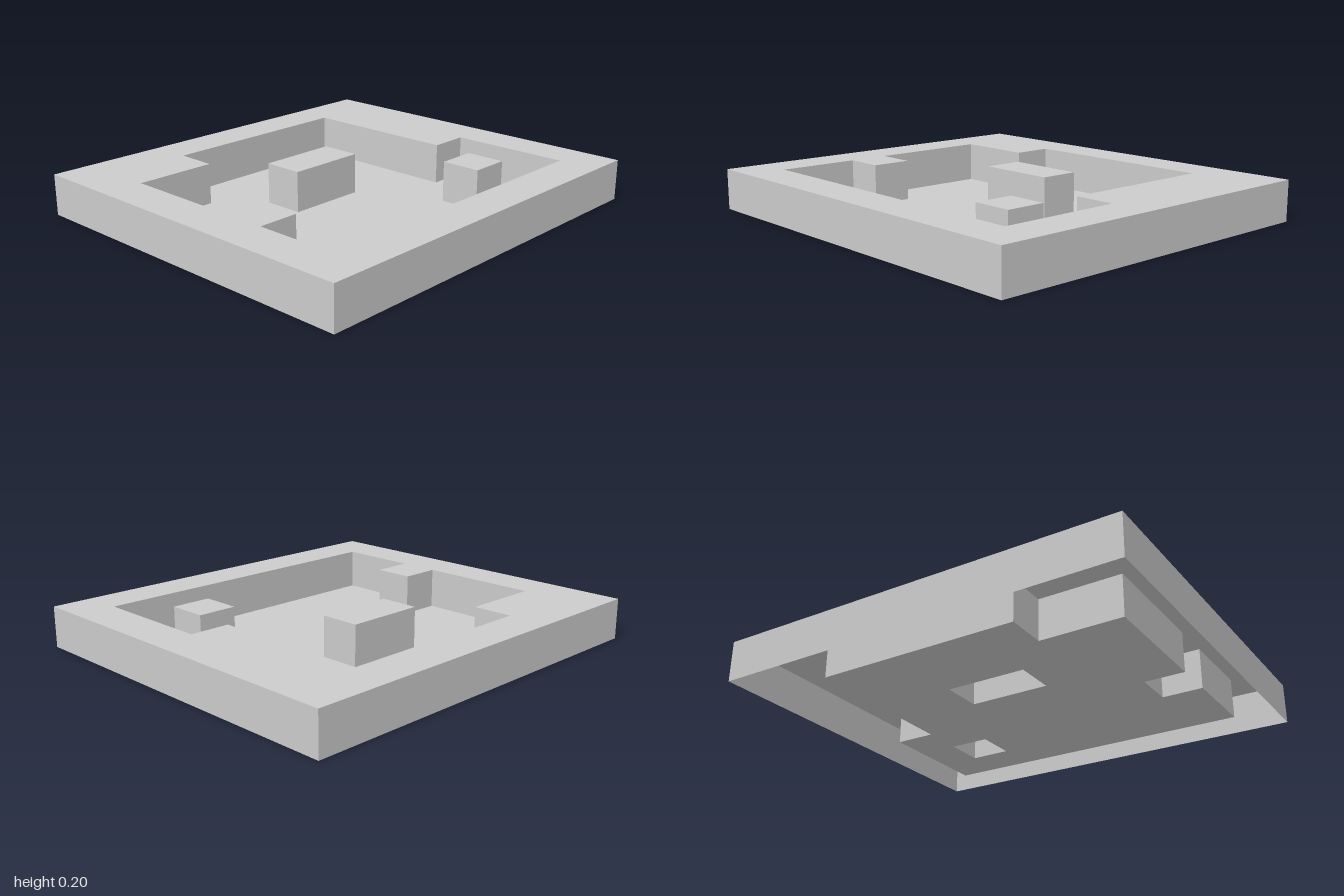
import * as THREE from 'three';

const HEIGHT = 0.2;

// Plan loops are lists of [x, z]
const rect = (x0, x1, z0, z1) => [[x0, z1], [x1, z1], [x1, z0], [x0, z0]];
const outer = rect(-0.9, 0.9, -1, 1);
const cavity = [
  [-0.7, -0.6], [0.1, -0.6], [0.1, -0.8], [0.7, -0.8], [0.7, 0.8], [0.3, 0.8],
  [0.3, 0.6], [0.1, 0.6], [0.1, 0.8], [-0.5, 0.8], [-0.5, 0.4], [-0.7, 0.4],
];
const pillars = {
  longPillar: rect(-0.3, -0.1, -0.2, 0.2),
  squarePillar: rect(0.3, 0.5, -0.6, -0.4),
};

// Flat sheet facing up at height y, with optional holes
function sheet(loop, holes, y) {
  const points = (l) => l.map(([x, z]) => new THREE.Vector2(x, -z));
  const shape = new THREE.Shape(points(loop));
  shape.holes = holes.map((h) => new THREE.Path(points(h)));
  return new THREE.ShapeGeometry(shape).rotateX(-Math.PI / 2).translate(0, y, 0);
}

// Upright walls along a closed loop, from the ground to HEIGHT
function walls(loop) {
  const pos = [];
  loop.forEach(([ax, az], i) => {
    const [bx, bz] = loop[(i + 1) % loop.length];
    pos.push(ax, 0, az, bx, 0, bz, bx, HEIGHT, bz);
    pos.push(ax, 0, az, bx, HEIGHT, bz, ax, HEIGHT, az);
  });
  const geometry = new THREE.BufferGeometry();
  geometry.setAttribute('position', new THREE.Float32BufferAttribute(pos, 3));
  geometry.computeVertexNormals();
  return geometry;
}

export function createModel() {
  const model = new THREE.Group();
  model.name = 'recessedTray';
  const material = new THREE.MeshStandardMaterial({
    color: 0xcccccc, flatShading: true, side: THREE.DoubleSide,
  });
  const add = (name, geometry, parent = model) => {
    const mesh = new THREE.Mesh(geometry, material);
    mesh.name = name;
    parent.add(mesh);
  };

  // Thin shell: outer skirt, top rim, stepped recess and its floor
  add('outerWalls', walls(outer));
  add('topRim', sheet(outer, [cavity], HEIGHT));
  add('recessWalls', walls(cavity));
  add('recessFloor', sheet(cavity, Object.values(pillars), 0));

  // Pillars in the recess, hollow from below
  for (const [name, loop] of Object.entries(pillars)) {
    const pillar = new THREE.Group();
    pillar.name = name;
    add(name + 'Walls', walls(loop), pillar);
    add(name + 'Top', sheet(loop, [], HEIGHT), pillar);
    model.add(pillar);
  }
  return model;
}
